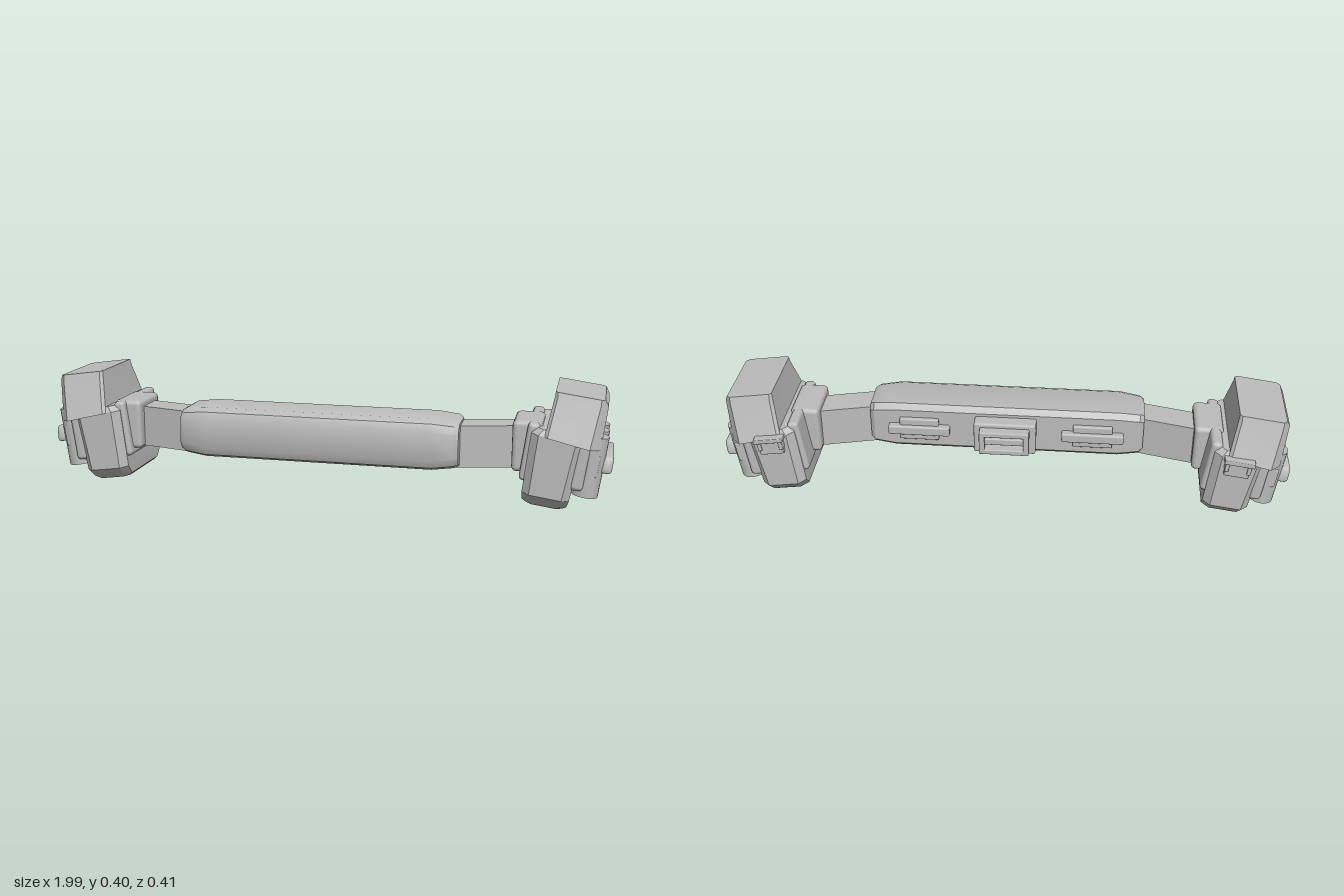
import * as THREE from 'three';
import { toCreasedNormals } from 'three/addons/utils/BufferGeometryUtils.js';
import { RoundedBoxGeometry } from 'three/addons/geometries/RoundedBoxGeometry.js';

const grey = new THREE.MeshStandardMaterial({ color: 0xbcbcbc });
grey.name = 'plain grey';

// Closed skin over a stack of rings { y, pts: [[x, z], ...] }, counterclockwise from above
function loft(rings, crease = 0.5) {
  const out = [];
  const put = (r, i) => {
    const p = r.pts[(i + r.pts.length) % r.pts.length];
    out.push(p[0], r.y(p[0]), p[1]);
  };
  const n = rings[0].pts.length;
  for (let k = 0; k < rings.length - 1; k++) {
    const a = rings[k], b = rings[k + 1];
    for (let i = 0; i < n; i++) {
      put(a, i); put(a, i + 1); put(b, i + 1);
      put(a, i); put(b, i + 1); put(b, i);
    }
  }
  const bottom = rings[0], top = rings[rings.length - 1];
  for (let i = 1; i < n - 1; i++) {
    put(bottom, 0); put(bottom, i + 1); put(bottom, i);
    put(top, 0); put(top, i); put(top, i + 1);
  }
  const g = new THREE.BufferGeometry();
  g.setAttribute('position', new THREE.Float32BufferAttribute(out, 3));
  g.computeVertexNormals();
  return toCreasedNormals(g, crease);
}

// Rectangle with cut corners: ci on the inner side, co on the outer side
function ring(y, x0, x1, hz, ci, co, cz = co) {
  return {
    y: () => y,
    pts: [[x1, hz - cz], [x1, -hz + cz], [x1 - co, -hz], [x0 + ci, -hz],
      [x0, -hz + ci], [x0, hz - ci], [x0 + ci, hz], [x1 - co, hz]],
  };
}

// Cross-section of the padded belt: flat back, softly curved front
function padRing(x, h, back, front) {
  return {
    y: () => x,
    pts: [[h, back + 0.02], [h - 0.018, back], [-h + 0.018, back], [-h, back + 0.02],
      [-h, front - 0.04], [-h + 0.012, front - 0.014], [-h * 0.55, front - 0.002],
      [h * 0.55, front - 0.002], [h - 0.012, front - 0.014], [h, front - 0.04]],
  };
}

const box = (w, h, d, r = 0.008) => new RoundedBoxGeometry(w, h, d, 2, r);

// Mirror across x and turn the triangles back outward
function mirrored(geo) {
  const g = geo.index ? geo.toNonIndexed() : geo.clone();
  g.scale(-1, 1, 1);
  for (const key of Object.keys(g.attributes)) {
    const at = g.attributes[key], s = at.itemSize, a = at.array;
    for (let i = 0; i < at.count; i += 3) {
      for (let c = 0; c < s; c++) {
        const p = (i + 1) * s + c, q = (i + 2) * s + c, t = a[p];
        a[p] = a[q];
        a[q] = t;
      }
    }
  }
  return g;
}

export function createModel() {
  const model = new THREE.Group();
  model.name = 'utilityBelt';

  const add = (parent, name, geo) => {
    const m = new THREE.Mesh(geo, grey);
    m.name = name;
    parent.add(m);
  };
  const sides = ['left', 'right'].map((s) => {
    const g = new THREE.Group();
    g.name = s + 'Side';
    model.add(g);
    return g;
  });
  const addPair = (name, geo) => {
    add(sides[0], name, geo);
    add(sides[1], name, mirrored(geo));
  };

  // Padded centre section
  const pad = loft([
    padRing(-0.49, 0.072, 0.018, 0.184), padRing(-0.475, 0.08, 0.006, 0.192),
    padRing(-0.40, 0.088, 0, 0.203), padRing(0.40, 0.088, 0, 0.203),
    padRing(0.475, 0.08, 0.006, 0.192), padRing(0.49, 0.072, 0.018, 0.184),
  ]);
  add(model, 'beltPad', pad.rotateZ(-Math.PI / 2).translate(0, 0.218, 0));

  // Buckle on the back: base plate, raised frame and bar
  const back = new THREE.Group();
  back.name = 'backBuckle';
  model.add(back);
  add(back, 'buckleBase', box(0.22, 0.12, 0.055).translate(0, 0.218, -0.022));
  for (const s of [-1, 1]) {
    add(back, 'frameRail', box(0.175, 0.02, 0.045, 0.004).translate(0, 0.218 + s * 0.035, -0.062));
    add(back, 'frameEnd', box(0.02, 0.085, 0.045, 0.004).translate(s * 0.078, 0.218, -0.062));
  }
  add(back, 'frameBar', box(0.15, 0.025, 0.025, 0.004).translate(0, 0.218, -0.06));

  // Small clips either side of the back buckle
  addPair('clipPlate', box(0.14, 0.085, 0.024, 0.005).translate(0.31, 0.218, -0.002));
  addPair('clipBar', box(0.22, 0.035, 0.03, 0.006).translate(0.31, 0.218, -0.012));

  // Straps and the loops they pass through
  addPair('strap', new THREE.BoxGeometry(0.27, 0.145, 0.105).rotateY(0.25).translate(0.585, 0.208, 0.055));
  addPair('beltLoop', box(0.10, 0.175, 0.185, 0.016).translate(0.712, 0.218, 0.035));

  // Pouch parts share one outward tilt
  const tilt = new THREE.Matrix4().makeRotationZ(-0.14).setPosition(0.80, 0.2, 0.003);
  const pouch = (name, geo) => addPair(name, geo.applyMatrix4(tilt));

  pouch('pouchBody', loft([
    ring(-0.182, -0.062, 0.062, 0.135, 0.02, 0.02),
    ring(-0.172, -0.075, 0.075, 0.148, 0.025, 0.025),
    ring(-0.14, -0.079, 0.079, 0.178, 0.025, 0.025),
    ring(0.065, -0.083, 0.091, 0.178, 0.025, 0.025),
    ring(0.085, -0.065, 0.08, 0.165, 0.02, 0.02),
  ]));
  pouch('innerPanel', box(0.04, 0.2, 0.30, 0.014).translate(-0.078, -0.005, 0));

  // Flared lid, lower on its outer side
  const rim = ring(0, -0.038, 0.147, 0.187, 0.01, 0.035, 0.042);
  rim.y = (x) => 0.064 - 0.1 * (x + 0.038);
  pouch('pouchLid', loft([
    rim,
    ring(0.19, -0.03, 0.146, 0.139, 0.01, 0.025, 0.03),
    ring(0.21, -0.03, 0.132, 0.133, 0.008, 0.012),
  ], 0.2));

  // Outer carrier with three canisters and their retaining band
  pouch('canisterPlate', box(0.045, 0.17, 0.325, 0.016).translate(0.092, -0.018, 0));
  for (const z of [-0.098, 0.002, 0.102]) {
    pouch('canister', new THREE.CylinderGeometry(0.045, 0.045, 0.208, 24).translate(0.124, -0.018, z));
  }
  pouch('canisterBand', box(0.065, 0.075, 0.285, 0.006).translate(0.12, -0.012, 0));

  // Handle block, narrowing toward its top
  const handle = box(0.042, 0.058, 0.25, 0.012);
  const p = handle.attributes.position;
  for (let i = 0; i < p.count; i++) p.setZ(i, p.getZ(i) * (1 - 1.6 * (p.getY(i) + 0.029)));
  handle.computeVertexNormals();
  pouch('handle', toCreasedNormals(handle.translate(0.176, -0.006, 0), 0.6));

  // Clasp on the rear of the pouch
  pouch('claspPlate', box(0.085, 0.06, 0.02, 0.003).translate(0.0, 0.035, -0.187));
  pouch('claspTop', box(0.105, 0.016, 0.035, 0.003).translate(0.0, 0.066, -0.194));
  for (const s of [-1, 1]) {
    pouch('claspSide', box(0.014, 0.045, 0.03, 0.003).translate(s * 0.038, 0.046, -0.188));
  }
  return model;
}
